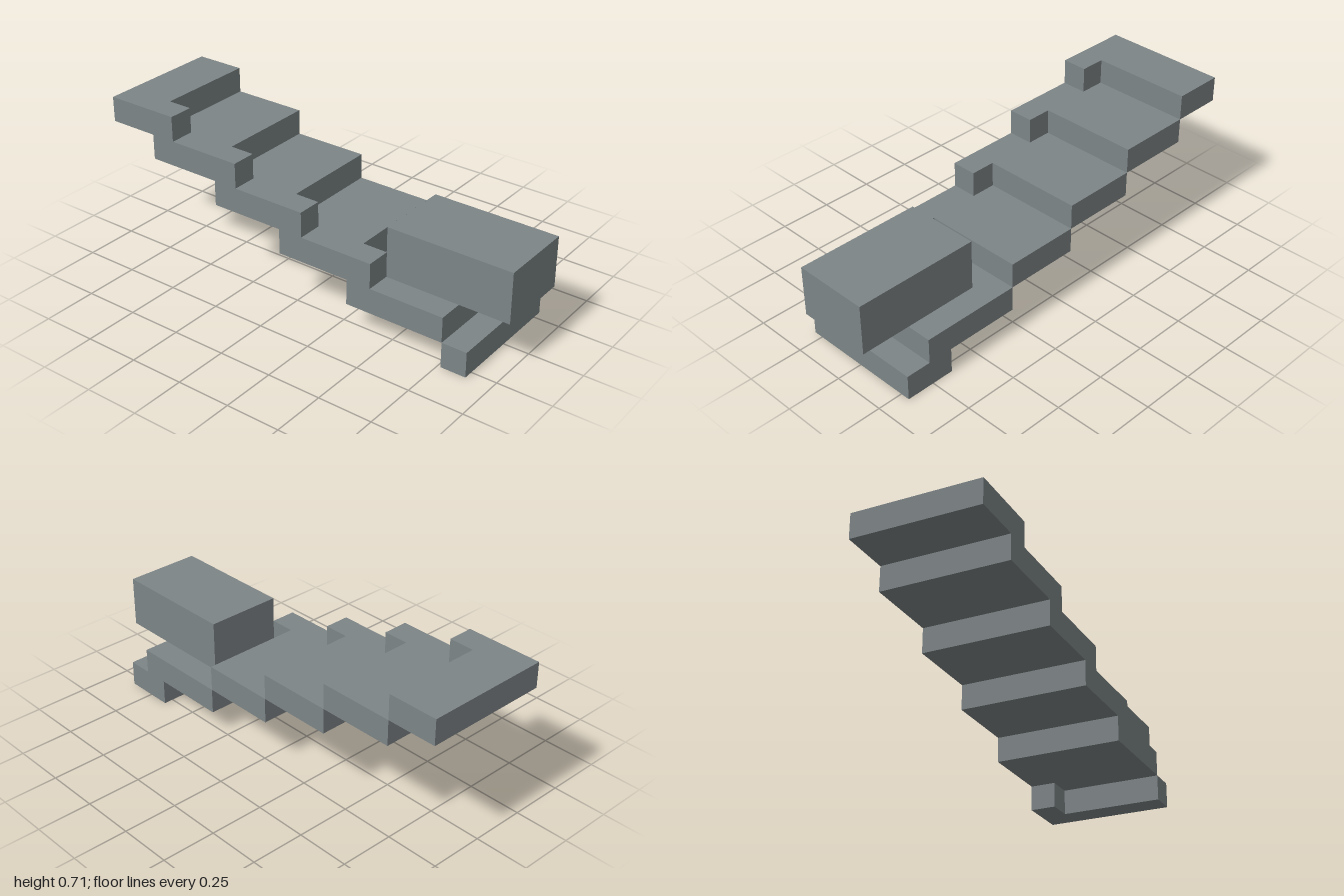
import * as THREE from 'three';

const U = 2 / 17; // one block

// Plan outline in blocks as [x, z], extruded upward from level y by h blocks
function slab(name, outline, y, h, material) {
  const shape = new THREE.Shape(outline.map(([x, z]) => new THREE.Vector2(x * U, -z * U)));
  const geometry = new THREE.ExtrudeGeometry(shape, { depth: h * U, bevelEnabled: false });
  geometry.rotateX(-Math.PI / 2);
  const mesh = new THREE.Mesh(geometry, material);
  mesh.name = name;
  mesh.position.y = y * U;
  return mesh;
}

const rect = (x0, x1, z0, z1) => [[x0, z1], [x1, z1], [x1, z0], [x0, z0]];

// Full-width step with a one-block tab reaching forward on the -x side
const tabbedStep = (back, front) => [
  [-2.5, front + 1], [-1.5, front + 1], [-1.5, front],
  [2.5, front], [2.5, back], [-2.5, back],
];

export function createModel() {
  const model = new THREE.Group();
  model.name = 'steppedBlocks';
  const grey = new THREE.MeshStandardMaterial({ color: 0x7d8587 });
  grey.name = 'grey';

  // Lowest bar, with a tab reaching backward on the +x side
  model.add(slab('bottomStep', [
    [-2.5, 7.5], [2.5, 7.5], [2.5, 5.5], [1.5, 5.5], [1.5, 6.5], [-2.5, 6.5],
  ], 0, 1, grey));

  // Plain second step
  model.add(slab('lowerStep', rect(-2.5, 2.5, 2.5, 6.5), 1, 1, grey));

  // Rising tabbed steps: [back, front]
  [[-0.5, 2.5], [-3.5, -0.5], [-6.5, -3.5], [-8.5, -6.5]].forEach(([back, front], i) => {
    model.add(slab(`upperStep${i + 1}`, tabbedStep(back, front), i + 2, 1, grey));
  });

  // Large block overhanging the front
  model.add(slab('headBlock', rect(-1.5, 1.5, 3.5, 8.5), 2, 2, grey));

  return model;
}
